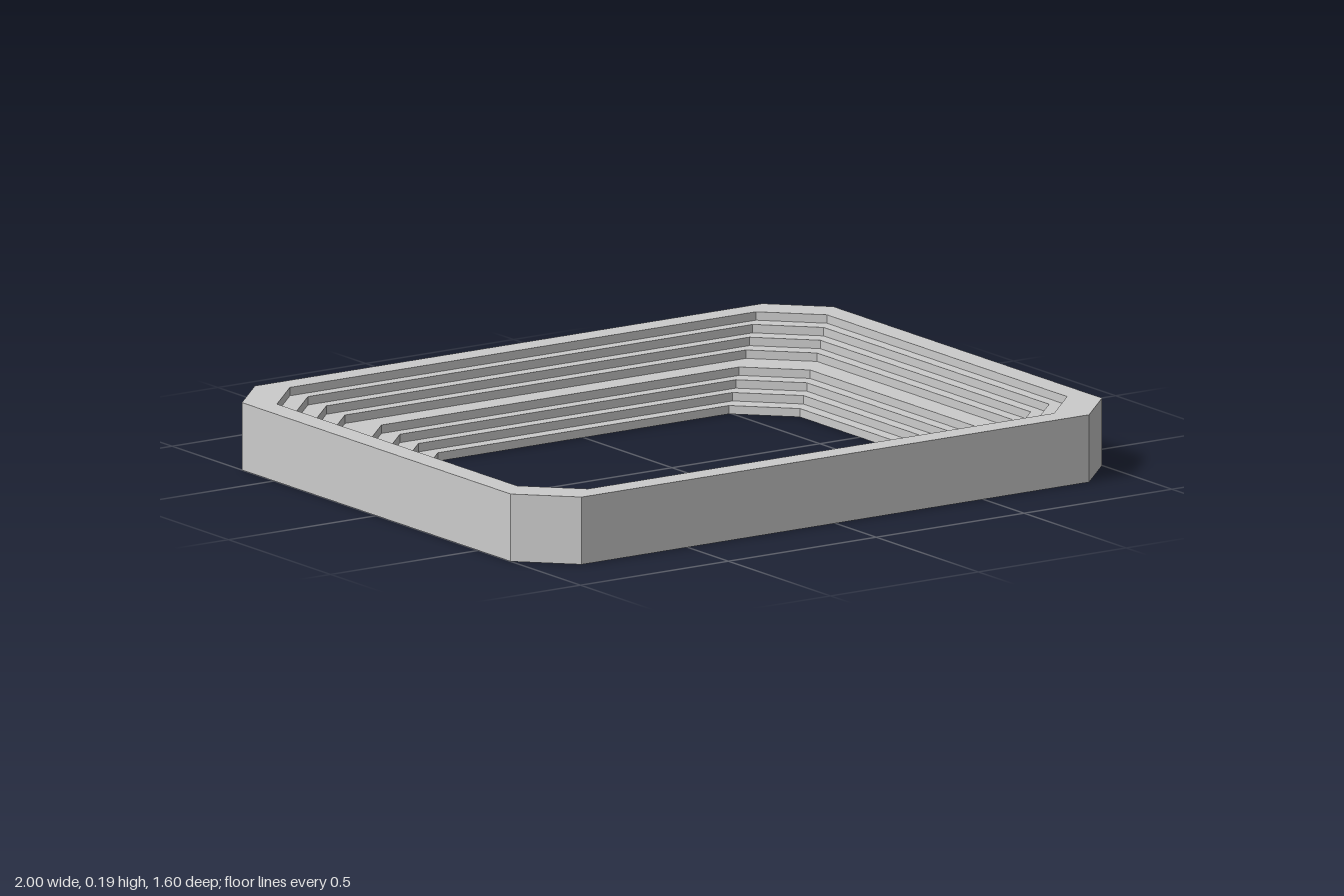
import * as THREE from 'three';

const HALF_X = 1, HALF_Z = 0.8, CHAMFER = 0.142, HEIGHT = 0.193;

// Chamfered rectangle, inset from the outer edge, at height y
function ring([inset, y]) {
  const a = HALF_X - inset, b = HALF_Z - inset, c = CHAMFER;
  return [
    [a, -b + c], [a, b - c], [a - c, b], [-a + c, b],
    [-a, b - c], [-a, -b + c], [-a + c, -b], [a - c, -b],
  ].map(([x, z]) => [x, y, z]);
}

// Flat-faced surface swept around the ring along a profile of [inset, y] points
function sweep(name, profile, material) {
  const positions = [];
  const rings = profile.map(ring);
  for (let k = 0; k + 1 < rings.length; k++) {
    const p = rings[k], q = rings[k + 1];
    for (let i = 0; i < p.length; i++) {
      const j = (i + 1) % p.length;
      positions.push(...p[i], ...q[i], ...q[j], ...p[i], ...q[j], ...p[j]);
    }
  }
  const geometry = new THREE.BufferGeometry();
  geometry.setAttribute('position', new THREE.Float32BufferAttribute(positions, 3));
  geometry.computeVertexNormals();
  const mesh = new THREE.Mesh(geometry, material);
  mesh.name = name;
  return mesh;
}

export function createModel() {
  const group = new THREE.Group();
  group.name = 'steppedStand';
  const material = new THREE.MeshStandardMaterial({
    color: 0xcccccc, flatShading: true, side: THREE.DoubleSide,
  });

  // Outer wall, open underneath
  group.add(sweep('outerWall', [[0, 0], [0, HEIGHT]], material));

  // Each tread is followed by an equal drop; the wide ones are the rim and walkway
  const insets = [0, 0.07, 0.106, 0.143, 0.18, 0.253, 0.29, 0.327, 0.366];
  const names = ['topRim', 'upperStep1', 'upperStep2', 'upperStep3',
    'walkway', 'lowerStep1', 'lowerStep2', 'lowerStep3'];
  const drop = HEIGHT / names.length;
  names.forEach((name, i) => {
    const y = HEIGHT - i * drop;
    group.add(sweep(name, [[insets[i], y], [insets[i + 1], y], [insets[i + 1], y - drop]], material));
  });
  return group;
}
